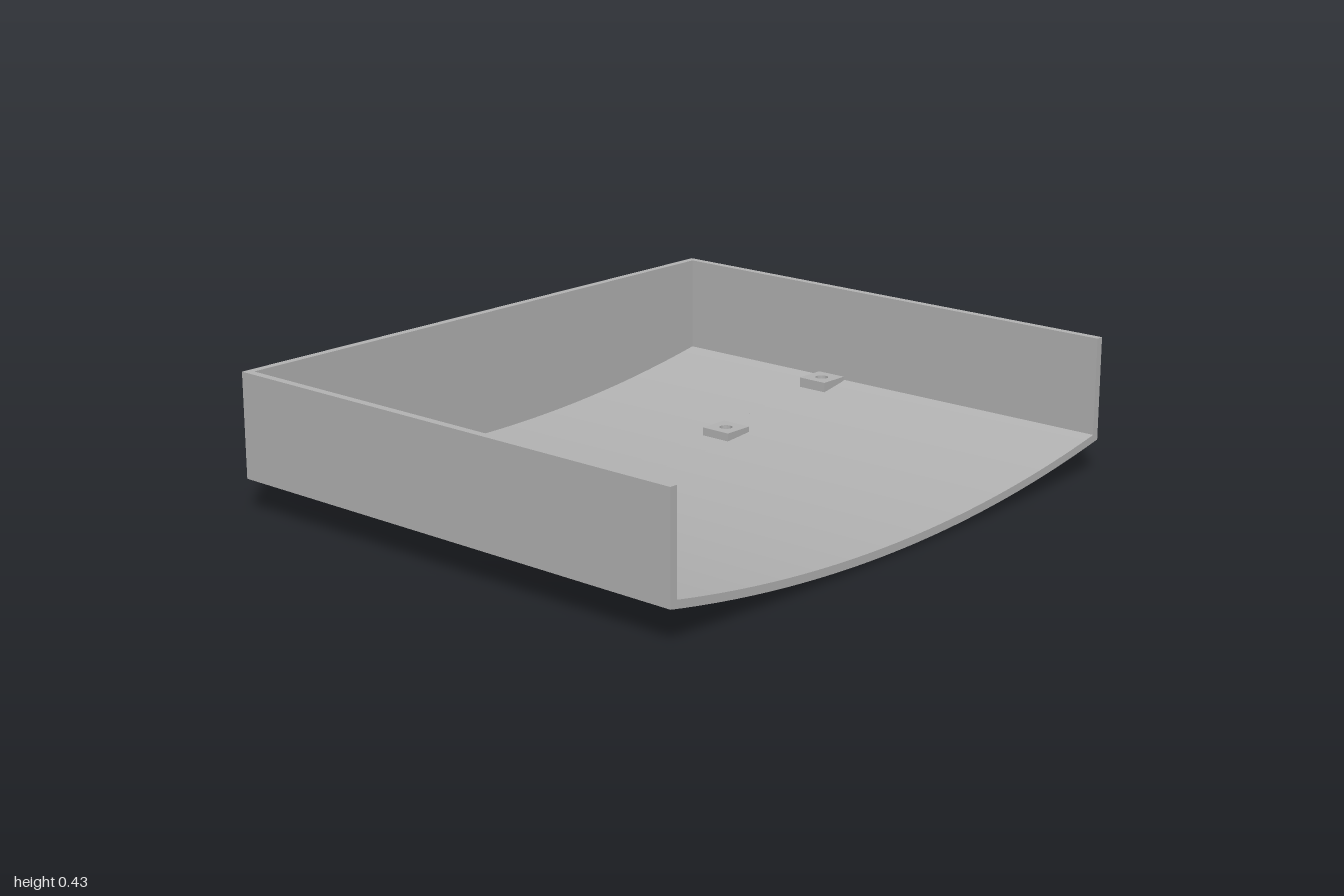
import * as THREE from 'three';
import { toCreasedNormals } from 'three/addons/utils/BufferGeometryUtils.js';

const W = 0.835, T = 0.025, TOP = 0.433, R = 5.31;
const BOSS = { x: -0.188, half: 0.052, height: 0.074, hole: 0.021 };

// Height of the shallow arc under the tray, along z
const arcY = (z) => 0.01 + R - Math.sqrt(R * R - z * z);

export function createModel() {
  const model = new THREE.Group();
  const grey = new THREE.MeshStandardMaterial({ color: 0xb4b4b4 });
  grey.name = 'light grey';

  function add(parent, name, geometry) {
    const mesh = new THREE.Mesh(toCreasedNormals(geometry, 0.3), grey);
    mesh.name = name;
    parent.add(mesh);
  }

  // Slab with an arched underside; its top is given as a function of z
  function slab(x0, x1, z0, z1, topY) {
    const n = Math.max(2, Math.ceil((z1 - z0) * 30));
    const bottom = [], top = [];
    for (let i = 0; i <= n; i++) {
      const z = z0 + ((z1 - z0) * i) / n;
      bottom.push(new THREE.Vector2(z, arcY(z)));
      top.unshift(new THREE.Vector2(z, topY(z)));
    }
    const geometry = new THREE.ExtrudeGeometry(new THREE.Shape([...bottom, ...top]), { depth: x1 - x0, bevelEnabled: false });
    return geometry.rotateY(-Math.PI / 2).translate(x1, 0, 0);
  }

  const rim = () => TOP;
  const floorTop = (z) => arcY(z) + T;
  const inner = 1 - T;

  // Walls on three sides, open at +x
  add(model, 'frontWall', slab(-W, W, inner, 1, rim));
  add(model, 'backWall', slab(-W, W, -1, -inner, rim));
  add(model, 'sideWall', slab(-W, -W + T, -inner, inner, rim));

  // Curved floor, leaving square openings for the bosses
  const floor = new THREE.Group();
  floor.name = 'floor';
  model.add(floor);
  const { x, half, height, hole } = BOSS;
  const bosses = [{ z: -0.917, y: 0.064 }, { z: -0.424, y: 0 }];
  add(floor, 'floorRight', slab(-W + T, x - half, -inner, inner, floorTop));
  add(floor, 'floorLeft', slab(x + half, W, -inner, inner, floorTop));
  let start = -inner;
  for (const { z } of bosses) {
    add(floor, 'floorStrip', slab(x - half, x + half, start, z - half, floorTop));
    start = z + half;
  }
  add(floor, 'floorStrip', slab(x - half, x + half, start, inner, floorTop));

  // Square bosses with a round hole right through
  for (const { z, y } of bosses) {
    const square = new THREE.Shape([[-1, -1], [1, -1], [1, 1], [-1, 1]].map(([a, b]) => new THREE.Vector2(a * half, b * half)));
    square.holes.push(new THREE.Path().absarc(0, 0, hole, 0, Math.PI * 2, true));
    const geometry = new THREE.ExtrudeGeometry(square, { depth: height, bevelEnabled: false, curveSegments: 24 });
    add(model, 'screwBoss', geometry.rotateX(-Math.PI / 2).translate(x, y, z));
  }
  return model;
}
